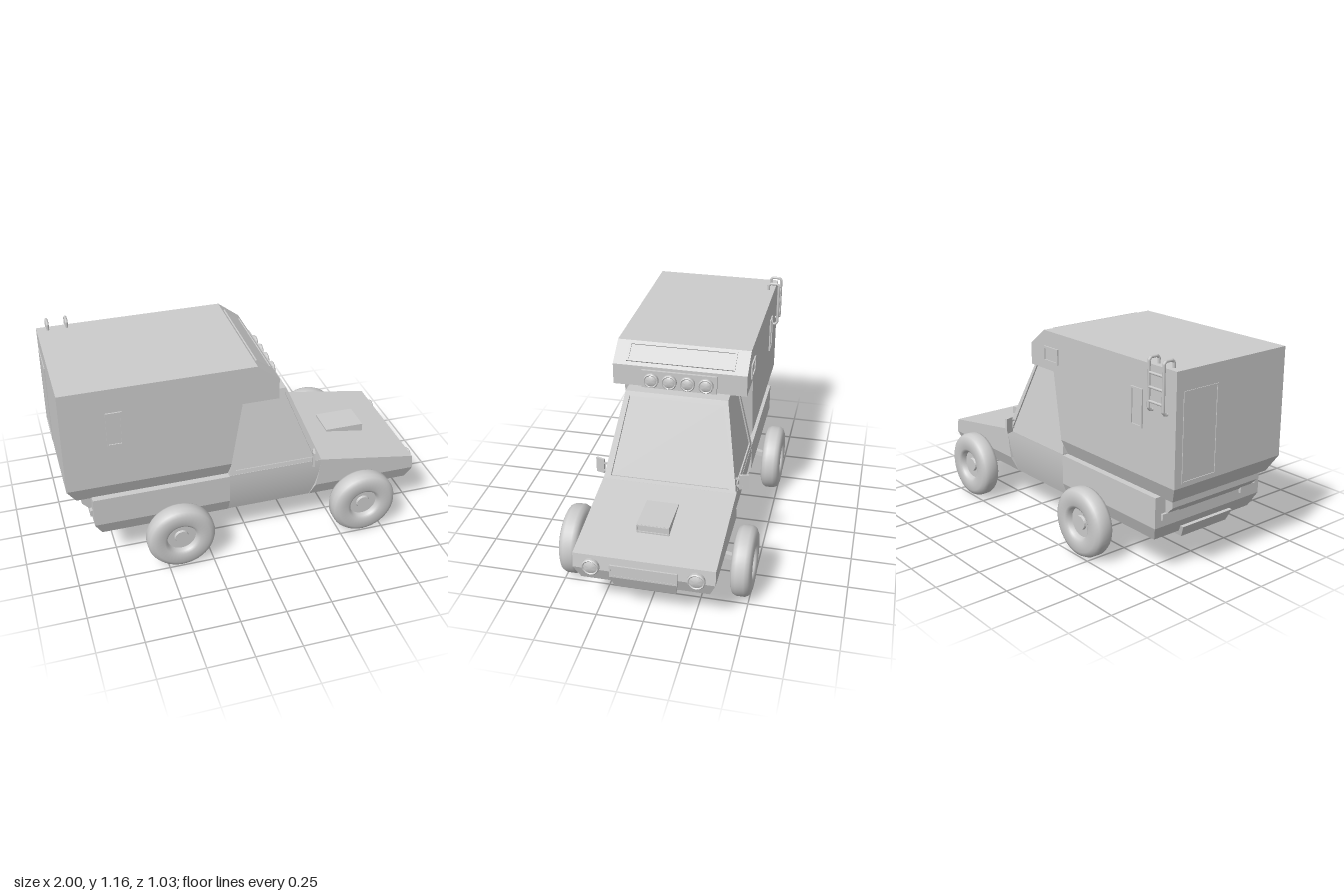
import * as THREE from 'three';
import { toCreasedNormals } from 'three/addons/utils/BufferGeometryUtils.js';

const V = (x, y, z) => new THREE.Vector3(x, y, z);
const grey = new THREE.MeshStandardMaterial({ color: 0xcccccc });

function add(parent, name, geometry, x = 0, y = 0, z = 0) {
  const mesh = new THREE.Mesh(geometry, grey);
  mesh.name = name;
  mesh.position.set(x, y, z);
  parent.add(mesh);
  return mesh;
}

// Flat faces from quads, corners counter-clockwise seen from outside
function quads(list) {
  const p = [];
  for (const [a, b, c, d] of list) for (const v of [a, b, c, a, c, d]) p.push(v.x, v.y, v.z);
  const g = new THREE.BufferGeometry();
  g.setAttribute('position', new THREE.Float32BufferAttribute(p, 3));
  g.computeVertexNormals();
  return g;
}

// Shell stacked from levels [y, xBack, xFront, halfWidth], closed at both ends
function shell(levels) {
  const rings = levels.map(([y, a, b, w]) => [V(a, y, w), V(b, y, w), V(b, y, -w), V(a, y, -w)]);
  const list = [[...rings[0]].reverse(), rings[rings.length - 1]];
  for (let i = 0; i + 1 < rings.length; i++) {
    for (let k = 0; k < 4; k++) {
      const n = (k + 1) % 4;
      list.push([rings[i][k], rings[i][n], rings[i + 1][n], rings[i + 1][k]]);
    }
  }
  return quads(list);
}

// Four-cornered panel with a recessed pane
function recessedPanel(parent, name, corners, u, v0, v1, depth) {
  const [a, b, c, d] = corners;
  const at = (s, t) => a.clone().lerp(b, s).lerp(d.clone().lerp(c, s), t);
  const inner = [at(u, v0), at(1 - u, v0), at(1 - u, v1), at(u, v1)];
  const normal = b.clone().sub(a).cross(d.clone().sub(a)).normalize();
  const pane = inner.map(p => p.clone().addScaledVector(normal, -depth));
  const list = [];
  for (let i = 0; i < 4; i++) {
    const n = (i + 1) % 4;
    list.push([corners[i], corners[n], inner[n], inner[i]]);
    list.push([inner[i], inner[n], pane[n], pane[i]]);
  }
  add(parent, name + 'Frame', quads(list));
  add(parent, name + 'Glass', quads([pane]));
}

// Raised rectangular frame with a pane, facing dir
function framedPane(parent, name, w, h, pos, dir, rim = 0.009) {
  const group = new THREE.Group();
  group.name = name;
  const rect = (T, a, b) => new T([[-a, -b], [a, -b], [a, b], [-a, b]].map(([x, y]) => new THREE.Vector2(x, y)));
  const shape = rect(THREE.Shape, w / 2, h / 2);
  shape.holes.push(rect(THREE.Path, w / 2 - rim, h / 2 - rim));
  add(group, name + 'Frame', new THREE.ExtrudeGeometry(shape, { depth: 0.008, bevelEnabled: false }));
  add(group, name + 'Pane', new THREE.BoxGeometry(w - rim, h - rim, 0.004));
  group.position.copy(pos);
  group.lookAt(pos.clone().add(dir));
  parent.add(group);
}

// Round lamp facing forwards: stepped housing with a domed lens
function lamp(parent, name, r, x, y, z, length) {
  const pts = [[r * 0.9, 0], [r, length * 0.3], [r, length * 0.75], [r * 0.88, length * 0.9],
    [r * 0.76, length * 0.78], [r * 0.5, length * 0.93], [0, length]].map(p => new THREE.Vector2(...p));
  const g = toCreasedNormals(new THREE.LatheGeometry(pts, 28), 0.6);
  g.rotateZ(-Math.PI / 2);
  add(parent, name, g, x, y, z);
}

function bar(parent, name, a, b, t) {
  const mesh = add(parent, name, new THREE.BoxGeometry(t, t, a.distanceTo(b)));
  mesh.position.copy(a).lerp(b, 0.5);
  mesh.lookAt(b);
}

export function createModel() {
  const model = new THREE.Group();
  model.name = 'camperTruck';

  // Camper box with overhang above the cab
  add(model, 'camperBody', shell([[0.44, -0.95, -0.115, 0.33], [0.53, -1, -0.11, 0.368], [0.9, -1, -0.05, 0.368],
    [0.9, -1, 0.15, 0.368], [1.02, -1, 0.15, 0.368], [1.112, -1, 0.03, 0.368]]));

  // Lower truck body: bed, door section, bonnet
  add(model, 'bed', shell([[0.2, -0.83, -0.12, 0.335], [0.28, -0.87, -0.12, 0.368], [0.445, -0.87, -0.12, 0.368]]));
  const doorLevels = [];
  for (let i = 0; i <= 10; i++) {
    const t = 1 - i / 10;
    doorLevels.push([0.45 - 0.25 * t, -0.12, 0.41 - 0.04 * t * t, 0.368 - 0.035 * t * t]);
  }
  add(model, 'doorSection', toCreasedNormals(shell(doorLevels), 0.5));
  add(model, 'bonnet', shell([[0.2, 0.36, 0.95, 0.335], [0.28, 0.385, 0.98, 0.368],
    [0.36, 0.4, 0.97, 0.368], [0.45, 0.41, 0.411, 0.368]]));
  add(model, 'chassis', new THREE.BoxGeometry(1.74, 0.04, 0.31), 0.05, 0.19, 0);
  add(model, 'frontBumper', shell([[0.17, 0.88, 0.95, 0.16], [0.25, 0.88, 0.985, 0.175], [0.32, 0.88, 0.985, 0.175]]));
  framedPane(model, 'grille', 0.35, 0.07, V(0.978, 0.287, 0), V(1, 0, 0), 0.01);
  add(model, 'rearBumper', shell([[0.17, -0.84, -0.78, 0.16], [0.235, -0.87, -0.78, 0.175]]));
  add(model, 'rearStep', shell([[0.34, -0.872, -0.86, 0.3], [0.39, -0.92, -0.86, 0.3], [0.445, -0.92, -0.86, 0.3]]));

  // Bonnet scoop
  add(model, 'bonnetScoop', new THREE.BoxGeometry(0.22, 0.08, 0.172), 0.66, 0.398, 0);
  framedPane(model, 'scoopGrille', 0.172, 0.046, V(0.768, 0.414, 0), V(1, 0, 0), 0.008);

  // Cab upper part: four leaning panels and a roof
  const low = 0.45, top = 0.902, wl = 0.366, wt = 0.28;
  const A = V(-0.12, low, wl), B = V(0.41, low, wl), C = V(0.22, top, wt), D = V(-0.05, top, wt);
  const [a, b, c, d] = [A, B, C, D].map(p => V(p.x, p.y, -p.z));
  recessedPanel(model, 'leftWindow', [A, B, C, D], 0.065, 0.05, 0.945, 0.008);
  recessedPanel(model, 'rightWindow', [b, a, d, c], 0.065, 0.05, 0.945, 0.008);
  recessedPanel(model, 'windscreen', [B, b, c, C], 0.05, 0.04, 0.945, 0.016);
  add(model, 'cabRoof', quads([[D, C, c, d], [a, A, D, d]]));

  // Camper windows and rear door
  framedPane(model, 'overcabWindow', 0.594, 0.115, V(0.087, 1.069, 0), V(0.6, 0.8, 0), 0.012);
  for (const s of [1, -1]) {
    framedPane(model, 'sideWindow', 0.085, 0.197, V(-0.727, 0.877, s * 0.368), V(0, 0, s));
  }
  framedPane(model, 'smallSideWindow', 0.125, 0.085, V(-0.033, 0.985, -0.368), V(0, 0, -1), 0.012);
  framedPane(model, 'rearDoor', 0.225, 0.46, V(-0.996, 0.78, -0.21), V(-1, 0, 0), 0.008);

  // Roof lamps on their mounting plate
  add(model, 'lampPlate', new THREE.BoxGeometry(0.02, 0.102, 0.414), 0.155, 0.953, 0);
  for (const z of [-0.15, -0.05, 0.05, 0.15]) lamp(model, 'roofLamp', 0.041, 0.16, 0.953, z, 0.033);

  // Parts mirrored to both sides
  for (const s of [1, -1]) {
    lamp(model, 'headlamp', 0.046, 0.962, 0.297, s * 0.272, 0.038);
    add(model, 'tailLamp', new THREE.BoxGeometry(0.02, 0.035, 0.11), -0.874, 0.335, s * 0.275);

    // Door mirror on two arms
    const mirror = add(model, 'doorMirror', new THREE.BoxGeometry(0.012, 0.088, 0.05), 0.352, 0.494, s * 0.397);
    mirror.rotation.y = -s * 0.3;
    for (const y of [0.47, 0.515]) bar(model, 'mirrorArm', V(0.365, y, s * 0.34), V(0.355, y, s * 0.395), 0.009);
  }

  // Ladder hooked over the roof edge
  const rails = [-0.94, -0.837];
  for (const x of rails) {
    const path = new THREE.CurvePath();
    const pts = [[1.1, -0.332], [1.14, -0.332], [1.151, -0.343], [1.151, -0.383], [1.14, -0.394],
      [0.905, -0.394], [0.892, -0.382], [0.892, -0.36]].map(([y, z]) => V(x, y, z));
    for (let i = 1; i < pts.length; i++) path.add(new THREE.LineCurve3(pts[i - 1], pts[i]));
    add(model, 'ladderRail', new THREE.TubeGeometry(path, 70, 0.008, 8));
  }
  for (const y of [0.94, 1.01, 1.08]) {
    const rung = new THREE.CylinderGeometry(0.007, 0.007, 0.103, 8).rotateZ(Math.PI / 2);
    add(model, 'ladderRung', rung, -0.8885, y, -0.394);
  }

  // Wheels with recessed hubs, on sloping half-axles
  const profile = [[0, -0.045], [0.08, -0.045], [0.1, -0.054], [0.155, -0.053], [0.178, -0.042], [0.188, -0.022],
    [0.188, 0.022], [0.178, 0.042], [0.155, 0.053], [0.1, 0.054], [0.085, 0.045], [0.08, 0.018],
    [0.04, 0.018], [0.036, 0.03], [0, 0.03]].map(p => new THREE.Vector2(...p));
  const wheelGeometry = toCreasedNormals(new THREE.LatheGeometry(profile, 40), 0.9).rotateX(Math.PI / 2);
  for (const x of [-0.425, 0.63]) {
    for (const s of [1, -1]) {
      const wheel = add(model, 'wheel', wheelGeometry, x, 0.19, s * 0.459);
      if (s < 0) wheel.rotation.y = Math.PI;
      bar(model, 'halfAxle', V(x, 0.196, s * 0.43), V(x, 0.235, s * 0.25), 0.028);
    }
  }
  return model;
}
